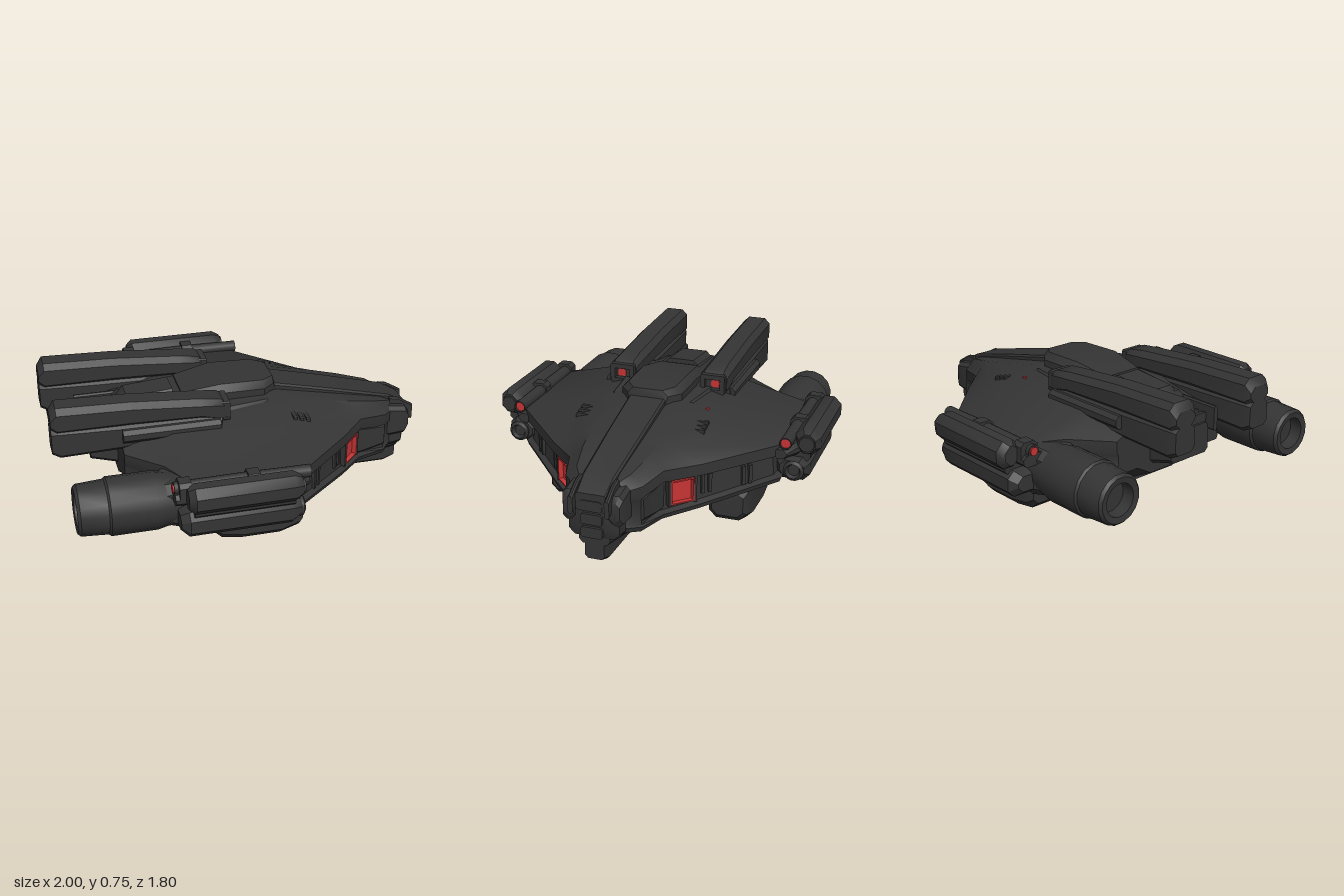
import * as THREE from 'three';
import { toCreasedNormals } from 'three/addons/utils/BufferGeometryUtils.js';

const charcoal = new THREE.MeshStandardMaterial({ color: 0x343434 });
charcoal.name = 'charcoal';
const red = new THREE.MeshStandardMaterial({ color: 0xc83434 });
red.name = 'signal red';

// Skin a list of rings ([x, y, z] points) and close both ends.
function loft(rings) {
  const tris = [];
  const n = rings[0].length;
  for (let i = 0; i + 1 < rings.length; i++) {
    for (let j = 0; j < n; j++) {
      const k = (j + 1) % n;
      const [a, b, c, d] = [rings[i][j], rings[i][k], rings[i + 1][k], rings[i + 1][j]];
      tris.push([a, b, c], [a, c, d]);
    }
  }
  const cap = (ring, flip) => {
    const mid = [0, 1, 2].map((q) => ring.reduce((s, p) => s + p[q], 0) / n);
    ring.forEach((p, j) => {
      const next = ring[(j + 1) % n];
      tris.push(flip ? [mid, next, p] : [mid, p, next]);
    });
  };
  cap(rings[0], true);
  cap(rings[rings.length - 1], false);
  // turn all faces outwards
  let volume = 0;
  const [u, v, w] = [0, 1, 2].map(() => new THREE.Vector3());
  for (const t of tris) volume += u.fromArray(t[0]).dot(v.fromArray(t[1]).cross(w.fromArray(t[2])));
  if (volume < 0) tris.forEach((t) => t.reverse());
  const geo = new THREE.BufferGeometry();
  geo.setAttribute('position', new THREE.Float32BufferAttribute(tris.flat(2), 3));
  return toCreasedNormals(geo, 0.6);
}

// Chamfered rectangle at x.
function octRing([x, y0, y1, z0, z1, c], side) {
  return [[y0, z0 + c], [y0, z1 - c], [y0 + c, z1], [y1 - c, z1], [y1, z1 - c], [y1, z0 + c], [y1 - c, z0], [y0 + c, z0]]
    .map(([y, z]) => [x, y, z * side]);
}

// Circle at x.
function roundRing(x, r, y, z, n = 16) {
  return Array.from({ length: n }, (_, i) => {
    const a = ((i + 0.5) / n) * Math.PI * 2;
    return [x, y + r * Math.cos(a), z + r * Math.sin(a)];
  });
}

export function createModel() {
  const ship = new THREE.Group();
  ship.name = 'ship';
  const add = (name, geo, mat = charcoal) => {
    const mesh = new THREE.Mesh(geo, mat);
    mesh.name = name;
    ship.add(mesh);
    return mesh;
  };
  const beam = (name, stations, side = 1, mat = charcoal) => add(name, loft(stations.map((s) => octRing(s, side))), mat);
  const bar = (name, x0, x1, y0, y1, z0, z1, c, side = 1, mat = charcoal) =>
    beam(name, [[x0, y0, y1, z0, z1, c], [x1, y0, y1, z0, z1, c]], side, mat);
  const tube = (name, profile, y, z, mat = charcoal) => add(name, loft(profile.map(([x, r]) => roundRing(x, r, y, z))), mat);

  // Hull: x, half width, deck height, upper lip, lower lip, belly
  const hull = [
    [-0.65, 0.36, 0.57, 0.48, 0.3, 0.25], [-0.48, 0.54, 0.6, 0.49, 0.26, 0.16], [-0.4, 0.7, 0.62, 0.49, 0.26, 0.145],
    [0.17, 0.72, 0.62, 0.47, 0.26, 0.12], [0.5, 0.4, 0.55, 0.45, 0.21, 0.13], [0.64, 0.25, 0.52, 0.45, 0.19, 0.15],
    [0.8, 0.2, 0.485, 0.43, 0.19, 0.16], [0.86, 0.14, 0.46, 0.42, 0.2, 0.17],
  ];
  add('hull', loft(hull.map(([x, e, top, lip, low, belly]) => {
    const inset = x > -0.3 && x < 0.7 ? 0.05 : 0.01;
    const deck = Math.min(0.19, e * 0.7);
    const half = [
      [deck, top], [deck + (e - deck) * 0.4, top - (top - lip) * 0.42], [e, lip], [e, lip - 0.06], [e - inset, lip - 0.075],
      [e - inset * 0.8, low + 0.035], [e, low + 0.025], [e - 0.01, low], [Math.min(0.22, e * 0.75), belly + 0.05], [Math.min(0.13, e * 0.5), belly],
    ];
    return [...half.map(([z, y]) => [x, y, z]), ...half.reverse().map(([z, y]) => [x, y, -z])];
  })));

  // Cabin, spine and rear bay
  beam('cabin', [[-0.3, 0.5, 0.66, -0.15, 0.15, 0.04], [-0.1, 0.5, 0.695, -0.17, 0.17, 0.035],
    [0.13, 0.5, 0.69, -0.165, 0.165, 0.035], [0.195, 0.5, 0.685, -0.11, 0.11, 0.03], [0.21, 0.5, 0.63, -0.1, 0.1, 0.02]]);
  beam('spine', [[-0.68, 0.32, 0.55, -0.12, 0.12, 0.03], [-0.6, 0.3, 0.62, -0.14, 0.14, 0.03], [-0.1, 0.3, 0.67, -0.16, 0.16, 0.04]]);
  beam('rearHatch', [[-0.66, 0.5, 0.57, -0.07, 0.07, 0.03], [-0.58, 0.5, 0.65, -0.1, 0.1, 0.03], [-0.34, 0.5, 0.67, -0.1, 0.1, 0.03]]);
  beam('rearBlock', [[-0.79, 0.34, 0.5, -0.13, 0.13, 0.02], [-0.5, 0.26, 0.54, -0.14, 0.14, 0.02]]);
  for (let i = 0; i < 2; i++) bar('rearRib', -0.78 + i * 0.05, -0.76 + i * 0.05, 0.45, 0.55, -0.12, 0.12, 0.005);

  // Nose strip, nose and keel
  beam('noseStrip', [[0.2, 0.5, 0.645, -0.1, 0.1, 0.01], [0.5, 0.45, 0.575, -0.095, 0.095, 0.01],
    [0.86, 0.36, 0.485, -0.085, 0.085, 0.01], [0.96, 0.34, 0.43, -0.08, 0.08, 0.01]]);
  beam('nose', [[0.75, 0.17, 0.44, -0.14, 0.14, 0.03], [0.93, 0.19, 0.42, -0.13, 0.13, 0.03], [0.95, 0.24, 0.4, -0.1, 0.1, 0.03]]);
  beam('chin', [[0.2, 0.1, 0.25, -0.13, 0.13, 0.02], [0.6, 0.1, 0.25, -0.11, 0.11, 0.02], [0.93, 0.15, 0.25, -0.08, 0.08, 0.02]]);
  beam('keel', [[0.24, 0.06, 0.16, -0.06, 0.06, 0.015], [0.28, 0.05, 0.16, -0.06, 0.06, 0.015],
    [0.87, 0.05, 0.16, -0.055, 0.055, 0.015], [0.93, 0.07, 0.18, -0.05, 0.05, 0.015]]);
  for (let i = 0; i < 3; i++) bar('nosePanel', 0.94, 0.965, 0.2 + i * 0.07, 0.255 + i * 0.07, -0.055, 0.055, 0.008);
  beam('bellyPlate', [[-0.5, 0.15, 0.25, -0.2, 0.2, 0.02], [-0.2, 0.1, 0.25, -0.16, 0.16, 0.02], [0.3, 0.1, 0.25, -0.14, 0.14, 0.02]]);

  for (const s of [1, -1]) {
    // Dorsal booms with a hooded lamp at the front
    beam('boom', [[-1, 0.63, 0.715, 0.195, 0.32, 0.03], [-0.97, 0.61, 0.755, 0.18, 0.335, 0.03],
      [-0.6, 0.61, 0.743, 0.18, 0.335, 0.03], [-0.24, 0.6, 0.715, 0.18, 0.335, 0.03],
      [-0.14, 0.58, 0.702, 0.18, 0.335, 0.025], [-0.125, 0.585, 0.69, 0.185, 0.33, 0.02]], s);
    beam('boomBase', [[-1, 0.5, 0.635, 0.195, 0.32, 0.02], [-0.96, 0.482, 0.64, 0.182, 0.333, 0.02],
      [-0.66, 0.49, 0.63, 0.182, 0.333, 0.02], [-0.14, 0.53, 0.62, 0.185, 0.345, 0.02]], s);
    bar('boomFairing', -0.65, -0.15, 0.54, 0.61, 0.3, 0.37, 0.02, s);
    bar('lampHood', -0.15, -0.095, 0.665, 0.69, 0.19, 0.325, 0.006, s);
    bar('lampSill', -0.15, -0.095, 0.585, 0.61, 0.19, 0.325, 0.006, s);
    for (const z of [0.19, 0.3]) bar('lampCheek', -0.15, -0.095, 0.6, 0.68, z, z + 0.025, 0.006, s);
    bar('boomLamp', -0.126, -0.12, 0.615, 0.655, 0.245, 0.29, 0.008, s, red);
    bar('rearRail', -0.83, -0.3, 0.46, 0.59, 0.125, 0.15, 0.008, s);

    // Engines with hollow nozzles
    tube('engine', [[-0.87, 0.08], [-0.935, 0.084], [-0.94, 0.115], [-0.925, 0.128], [-0.79, 0.136], [-0.78, 0.146],
      [-0.55, 0.146], [-0.5, 0.135], [-0.3, 0.12]], 0.35, 0.605 * s);
    beam('engineMount', [[-0.55, 0.25, 0.46, 0.5, 0.7, 0.04], [-0.42, 0.23, 0.49, 0.46, 0.74, 0.04], [-0.2, 0.25, 0.46, 0.46, 0.7, 0.04]], s);

    // Belly nacelles
    beam('bellyNacelle', [[-0.23, 0.05, 0.2, 0.365, 0.545, 0.03], [-0.19, 0.015, 0.23, 0.345, 0.56, 0.04],
      [-0.08, 0, 0.27, 0.345, 0.565, 0.04], [0.12, 0, 0.27, 0.345, 0.565, 0.04], [0.22, 0.025, 0.22, 0.35, 0.555, 0.04],
      [0.24, 0.05, 0.19, 0.37, 0.54, 0.03]], s);

    // Wingtip pods and guns
    beam('upperPod', [[-0.43, 0.42, 0.52, 0.79, 0.87, 0.03], [-0.4, 0.4, 0.54, 0.765, 0.9, 0.04],
      [0.09, 0.4, 0.54, 0.765, 0.9, 0.04], [0.13, 0.42, 0.52, 0.79, 0.88, 0.03]], s);
    beam('lowerPod', [[-0.46, 0.28, 0.36, 0.7, 0.82, 0.03], [-0.42, 0.25, 0.385, 0.67, 0.85, 0.035],
      [0.09, 0.25, 0.385, 0.67, 0.85, 0.035], [0.14, 0.28, 0.37, 0.7, 0.83, 0.03]], s);
    bar('podPylon', -0.4, 0.1, 0.36, 0.46, 0.6, 0.85, 0.02, s);
    beam('podBracket', [[-0.48, 0.41, 0.47, 0.67, 0.8, 0.02], [0.12, 0.4, 0.47, 0.67, 0.8, 0.02], [0.2, 0.4, 0.45, 0.68, 0.75, 0.02]], s);
    for (const x of [-0.46, -0.12]) bar('podClamp', x, x + 0.06, 0.42, 0.53, 0.7, 0.8, 0.02, s);
    tube('podGun', [[-0.46, 0.02], [-0.48, 0.022], [-0.48, 0.032], [-0.12, 0.035], [0.1, 0.032], [0.2, 0.032], [0.2, 0.027], [0.185, 0.026]], 0.485, 0.74 * s);
    tube('gunTip', [[0.184, 0.026], [0.19, 0.026]], 0.485, 0.74 * s, red);
    tube('gunTail', [[-0.487, 0.021], [-0.479, 0.021]], 0.485, 0.74 * s, red);
    tube('lowerPodNozzle', [[0.1, 0.055], [0.15, 0.055], [0.16, 0.04], [0.14, 0.03]], 0.32, 0.775 * s);
    tube('upperPodNozzle', [[0.1, 0.045], [0.14, 0.04]], 0.47, 0.835 * s);

    // Nose cheeks, prongs and shoulder plates
    beam('noseCheek', [[0.81, 0.26, 0.45, 0.08, 0.155, 0.02], [0.94, 0.27, 0.43, 0.08, 0.155, 0.02], [0.96, 0.3, 0.4, 0.09, 0.145, 0.02]], s);
    beam('noseProng', [[0.86, 0.38, 0.48, 0.08, 0.105, 0.008], [0.91, 0.36, 0.47, 0.08, 0.105, 0.008], [0.995, 0.33, 0.42, 0.08, 0.105, 0.008]], s);
    beam('shoulderPlate', [[0.6, 0.22, 0.4, 0.1, 0.24, 0.02], [0.67, 0.22, 0.39, 0.1, 0.225, 0.02], [0.8, 0.24, 0.38, 0.1, 0.205, 0.02]], s);

    // Deck ridge and vents
    beam('deckRidge', [[-0.12, 0.54, 0.615, 0.17, 0.26, 0.015], [0.12, 0.54, 0.62, 0.17, 0.23, 0.015], [0.22, 0.52, 0.59, 0.15, 0.19, 0.01]], s);
    for (let i = 0; i < 3; i++) bar('deckVent', 0.235 + i * 0.035, 0.255 + i * 0.035, 0.5, 0.572 - i * 0.009, 0.26, 0.35, 0.004, s);

    // Fittings in the slanted side recess: u runs along it, n points out of it
    const fitting = (name, u, y, n, depth, height, width, mat) => {
      const mesh = add(name, new THREE.BoxGeometry(depth, height, width), mat);
      mesh.position.set(0.565 + n * 0.704 - u * 0.71, y, (0.32 + n * 0.71 + u * 0.704) * s);
      mesh.rotation.y = -0.79 * s;
    };
    fitting('window', 0, 0.32, -0.022, 0.008, 0.125, 0.126, red);
    for (const k of [-1, 1]) {
      fitting('windowSide', k * 0.06, 0.32, -0.008, 0.03, 0.125, 0.007, red);
      fitting('windowSill', 0, 0.32 + k * 0.06, -0.008, 0.03, 0.007, 0.126, red);
      fitting('windowPost', k * 0.071, 0.32, -0.013, 0.04, 0.14, 0.014);
    }
    for (const u of [0.12, 0.16, 0.35, 0.39]) fitting('recessRib', u, 0.33, -0.02, 0.025, 0.1, 0.018);
  }

  // Small marker lamp on the right-hand deck
  bar('deckLamp', 0.115, 0.135, 0.56, 0.594, 0.295, 0.31, 0.004, -1, red);
  return ship;
}
